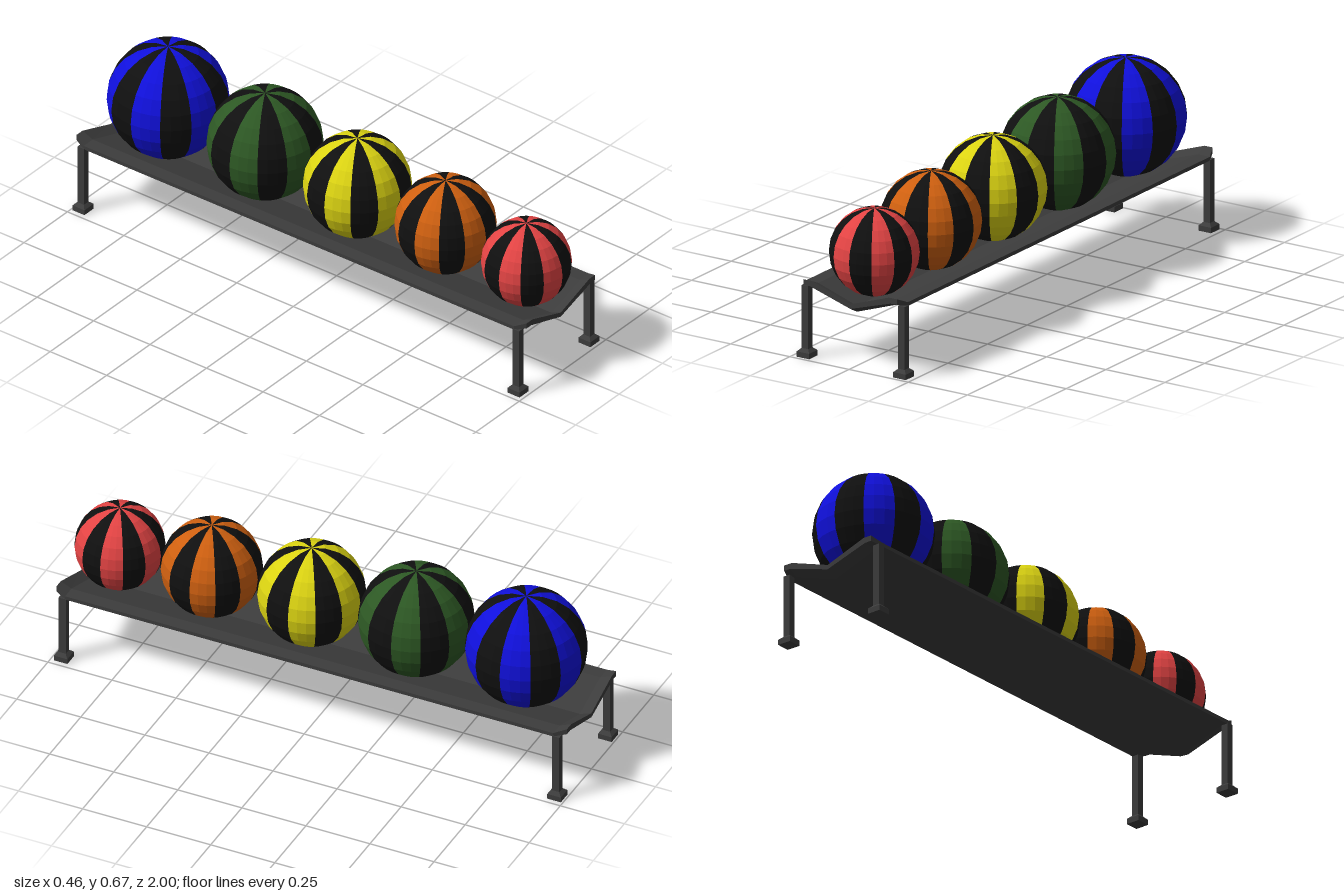
import * as THREE from 'three';
import { mergeGeometries } from 'three/addons/utils/BufferGeometryUtils.js';

const mat = (name, color) => {
  const m = new THREE.MeshStandardMaterial({ color, flatShading: true });
  m.name = name;
  return m;
};

const charcoal = mat('charcoal', 0x3c3c3c);
const black = mat('black', 0x101010);

function addMesh(parent, name, geometry, material, x = 0, y = 0, z = 0) {
  const mesh = new THREE.Mesh(geometry, material);
  mesh.name = name;
  mesh.position.set(x, y, z);
  parent.add(mesh);
  return mesh;
}

// Mirror a half profile (centre to edge) into five points, left to right
const mirrored = (half) => [
  [-half[2][0], half[2][1]], [-half[1][0], half[1][1]], ...half,
];

// V-shaped tray lofted along z, with raised lips at both ends
function trayGeometry() {
  const ring = (bottom, top) => [...mirrored(bottom), ...mirrored(top).reverse()];
  const deck = ring(
    [[0, 0.2], [0.18, 0.262], [0.215, 0.262]],
    [[0, 0.222], [0.163, 0.276], [0.215, 0.276]]);
  const lip = ring(
    [[0, 0.222], [0.17, 0.274], [0.197, 0.274]],
    [[0, 0.239], [0.163, 0.295], [0.197, 0.295]]);
  const stations = [[-1, lip], [-0.955, deck], [0.95, deck], [0.992, lip]];
  const n = 10;
  const positions = [];
  const index = [];
  const quad = (a, b, c, d) => index.push(a, b, c, a, c, d);
  stations.forEach(([z, pts], s) => {
    pts.forEach(([x, y]) => positions.push(x, y, z));
    if (s === 0) return;
    const p = (s - 1) * n, q = s * n;
    for (let i = 0; i < n; i++) {
      const j = (i + 1) % n;
      quad(p + i, p + j, q + j, q + i);
    }
  });
  // End caps
  const last = (stations.length - 1) * n;
  for (let i = 0; i < 4; i++) {
    quad(last + i, last + i + 1, last + 8 - i, last + 9 - i);
    quad(9 - i, 8 - i, i + 1, i);
  }
  const g = new THREE.BufferGeometry();
  g.setAttribute('position', new THREE.Float32BufferAttribute(positions, 3));
  g.setIndex(index);
  g.computeVertexNormals();
  return g;
}

// Every second 30 degree slice of a faceted sphere
function slices(radius, first) {
  const step = Math.PI / 6;
  const parts = [];
  for (let i = first; i < 12; i += 2) {
    parts.push(new THREE.SphereGeometry(radius, 1, 12, i * step, step));
  }
  return mergeGeometries(parts);
}

function makeBall(name, radius, y, z, material) {
  const ball = new THREE.Group();
  ball.name = name;
  ball.position.set(0, y, z);
  addMesh(ball, 'colouredStripes', slices(radius, 0), material);
  addMesh(ball, 'blackStripes', slices(radius, 1), black);
  return ball;
}

// Square post on a foot with a sloped top
function makeLeg(name, x, z) {
  const leg = new THREE.Group();
  leg.name = name;
  leg.position.set(x, 0, z);
  addMesh(leg, 'post', new THREE.BoxGeometry(0.027, 0.24, 0.028), charcoal, 0, 0.145, 0);
  addMesh(leg, 'foot', new THREE.BoxGeometry(0.053, 0.02, 0.053), charcoal, 0, 0.01, 0);
  const slope = new THREE.CylinderGeometry(
    0.0135 * Math.SQRT2, 0.0265 * Math.SQRT2, 0.012, 4).rotateY(Math.PI / 4);
  addMesh(leg, 'footSlope', slope, charcoal, 0, 0.026, 0);
  return leg;
}

export function createModel() {
  const model = new THREE.Group();
  model.name = 'ballRack';

  addMesh(model, 'tray', trayGeometry(), charcoal);

  for (const [end, z] of [['front', 0.96], ['back', -0.966]]) {
    model.add(makeLeg(end + 'LeftLeg', 0.204, z));
    model.add(makeLeg(end + 'RightLeg', -0.204, z));
  }

  // Balls growing in size from front to back: name, radius, height, z, colour
  const balls = [
    ['red', 0.16, 0.394, 0.84, 0xe44444],
    ['orange', 0.18, 0.411, 0.482, 0xcf6010],
    ['yellow', 0.192, 0.421, 0.092, 0xdcd412],
    ['green', 0.206, 0.434, -0.317, 0x2d5824],
    ['blue', 0.216, 0.449, -0.746, 0x1010dc],
  ];
  for (const [name, r, y, z, color] of balls) {
    model.add(makeBall(name + 'Ball', r, y, z, mat(name, color)));
  }
  return model;
}
